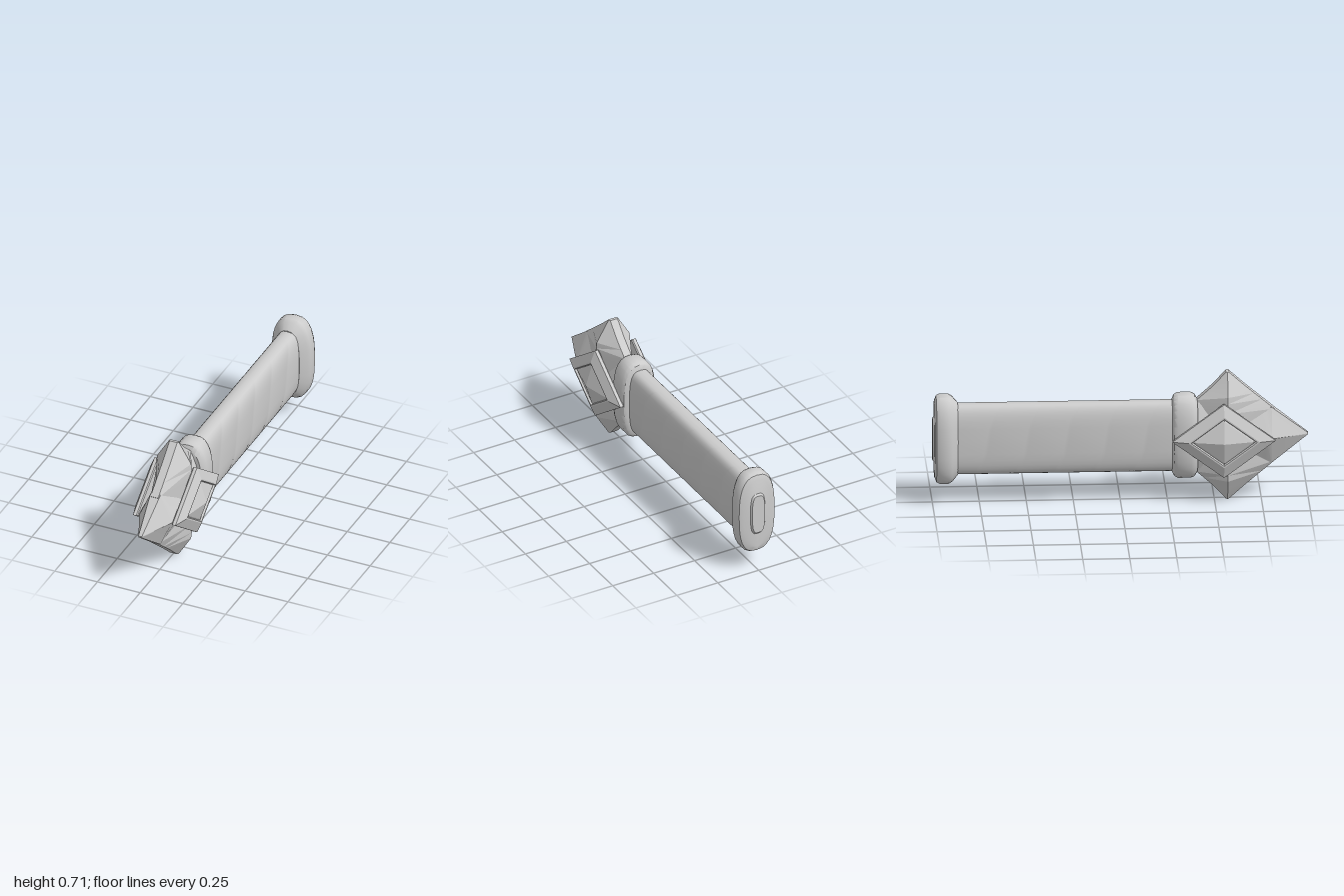
import * as THREE from 'three';
import { toCreasedNormals } from 'three/addons/utils/BufferGeometryUtils.js';

const MID = 0.365; // height of the long axis
const HEAD_Z = 0.57; // centre of the head

// Skin rings of points; rings run counterclockwise as seen from the end of the axis
function loft(rings, { closed = true, caps = true, crease = 0.6 } = {}) {
  const n = rings[0].length, index = [];
  const cols = closed ? n : n - 1;
  for (let r = 0; r < rings.length - 1; r++) {
    for (let i = 0; i < cols; i++) {
      const j = (i + 1) % n;
      const a = r * n + i, b = r * n + j, c = b + n, d = a + n;
      index.push(a, b, c, a, c, d);
    }
  }
  if (caps) {
    const last = (rings.length - 1) * n;
    for (let i = 1; i < n - 1; i++) index.push(0, i + 1, i, last, last + i, last + i + 1);
  }
  const geo = new THREE.BufferGeometry();
  geo.setAttribute('position', new THREE.Float32BufferAttribute(rings.flat(2), 3));
  geo.setIndex(index);
  geo.computeVertexNormals();
  return toCreasedNormals(geo, crease);
}

// Point on a squared-off oval, t = 0 at the bottom, going up the +x side
function ovalPoint(t, rx, ry, power) {
  const a = t * Math.PI * 2, s = Math.sin(a), c = -Math.cos(a);
  return [rx * Math.sign(s) * Math.abs(s) ** power, MID + ry * Math.sign(c) * Math.abs(c) ** power];
}

// Oval block from stations [z, half width, half height]
function ovalBlock(stations, power = 0.75, n = 28) {
  return loft(stations.map(([z, rx, ry]) =>
    Array.from({ length: n }, (_, i) => [...ovalPoint(i / n, rx, ry, power), z])));
}

// Grip wrapped by two overlapping helical bands
function gripGeometry() {
  const n = 32, band = 0.21, rings = [];
  for (let k = -6; k <= 5; k++) {
    for (const [f, s] of [[0, 0.965], [0.05, 1], [0.95, 0.99]]) {
      rings.push(Array.from({ length: n + 1 }, (_, i) => {
        const z = (k + f) * band + 0.24 - (2 * band * i) / n;
        const [x, y] = ovalPoint(i / n, 0.068 * s, 0.195, 0.62);
        return [x, y, THREE.MathUtils.clamp(z, -0.9, 0.33)];
      }));
    }
  }
  return loft(rings, { closed: false, caps: false, crease: 0.5 });
}

// Ridged point from stations [distance, +y reach, -y reach, ridge half width, edge half width]
function spike(stations) {
  return loft(stations.map(([d, up, down, w, e]) => [
    [e, -down, d], [w, 0, d], [e, up, d], [-e, up, d], [-w, 0, d], [-e, -down, d],
  ]), { crease: 0.3 });
}

export function createModel() {
  const group = new THREE.Group();
  const material = new THREE.MeshStandardMaterial({ color: 0xcccccc });
  const add = (name, geo, y = 0, z = 0) => {
    const mesh = new THREE.Mesh(geo, material);
    mesh.name = name;
    mesh.position.set(0, y, z);
    group.add(mesh);
    return mesh;
  };

  const grip = add('grip', gripGeometry());
  grip.material = material.clone();
  grip.material.side = THREE.DoubleSide;

  add('pommel', ovalBlock([
    [-0.99, 0.085, 0.21], [-0.98, 0.108, 0.236], [-0.96, 0.117, 0.246],
    [-0.915, 0.115, 0.246], [-0.895, 0.102, 0.235], [-0.865, 0.07, 0.2],
  ]));
  add('pommelPlate', ovalBlock([[-1, 0.038, 0.115], [-0.985, 0.048, 0.13]], 0.6));

  add('collar', ovalBlock([
    [0.275, 0.075, 0.2], [0.285, 0.095, 0.222], [0.305, 0.106, 0.234],
    [0.375, 0.106, 0.234], [0.395, 0.1, 0.225], [0.41, 0.085, 0.2],
  ]));

  // Front point of the head
  add('frontPoint', spike([
    [-0.17, 0.19, 0.19, 0.1, 0.03], [0.2, 0.15, 0.15, 0.105, 0.03],
    [0.235, 0.155, 0.155, 0.095, 0.028], [0.43, 0.004, 0.004, 0.01, 0.01],
  ]), MID, HEAD_Z);

  // Upper and lower horns, with hollowed rear edges
  const horn = spike([
    [0, 0.17, 0.23, 0.104, 0.022], [0.145, 0.17, 0.25, 0.104, 0.022],
    [0.2, 0.165, 0.185, 0.103, 0.022], [0.235, 0.125, 0.143, 0.1, 0.022],
    [0.28, 0.075, 0.09, 0.073, 0.022], [0.354, 0.008, 0.008, 0.028, 0.022],
  ]).rotateX(-Math.PI / 2);
  ['upperHorn', 'lowerHorn'].forEach((name, i) => {
    add(name, horn, MID, HEAD_Z).rotation.z = i * Math.PI;
  });

  // Diamond side plates: bevelled frame, sunk groove and a raised pyramid
  const profile = [[0, 0.085], [0.97, 0.1], [1, 0.106], [1, 0.124], [0.69, 0.15],
    [0.64, 0.15], [0.61, 0.138], [0.57, 0.143], [0, 0.18]];
  const plate = toCreasedNormals(
    new THREE.LatheGeometry(profile.map(([r, h]) => new THREE.Vector2(r * 0.275, h)), 4)
      .scale(0.205 / 0.275, 1, 1).rotateZ(-Math.PI / 2), 0.1);
  ['leftPlate', 'rightPlate'].forEach((name, i) => {
    add(name, plate, MID, 0.547).rotation.z = i * Math.PI;
  });

  return group;
}
